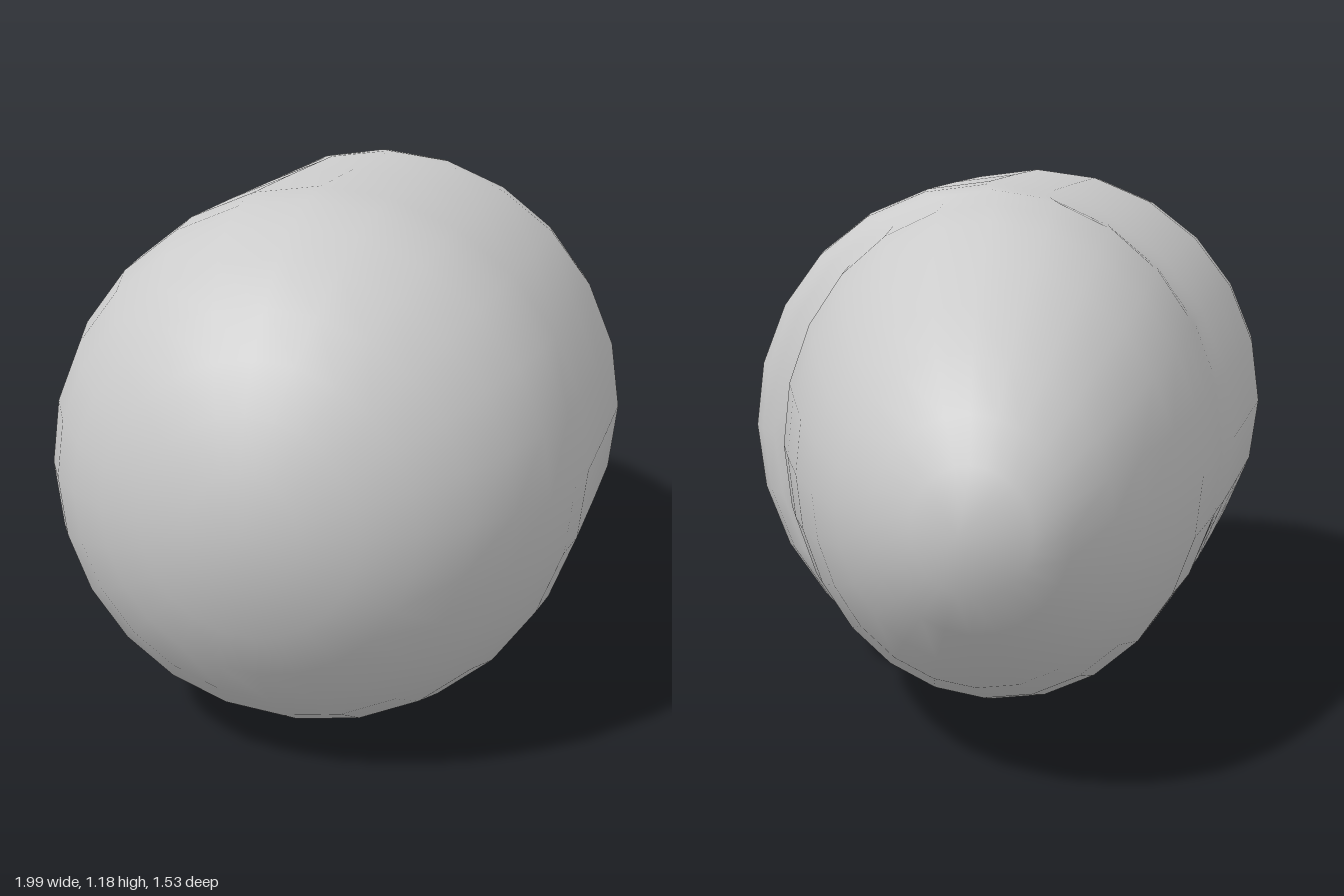
import * as THREE from 'three';
import { mergeVertices } from 'three/addons/utils/BufferGeometryUtils.js';

const SIDES = 24;
const RADIUS = 0.59;
const CENTRE_Y = 0.593;

// Closed loft: each section is [distance along axis, front edge, back edge, half height]
function loft(sections, axis, across) {
  const positions = [];
  const index = [];
  sections.forEach(([s, front, back, h], i) => {
    const middle = (front + back) / 2;
    const halfWidth = (front - back) / 2;
    for (let j = 0; j < SIDES; j++) {
      const angle = (j / SIDES) * Math.PI * 2;
      const p = axis.clone().multiplyScalar(s)
        .addScaledVector(across, middle + halfWidth * Math.cos(angle));
      positions.push(p.x, CENTRE_Y + h * Math.sin(angle), p.z);
      if (i === sections.length - 1) continue;
      const a = i * SIDES + j;
      const b = i * SIDES + (j + 1) % SIDES;
      index.push(a, a + SIDES, b + SIDES, a, b + SIDES, b);
    }
  });
  const geometry = new THREE.BufferGeometry();
  geometry.setAttribute('position', new THREE.Float32BufferAttribute(positions, 3));
  geometry.setIndex(index);
  const welded = mergeVertices(geometry, 1e-4);
  welded.computeVertexNormals();
  return welded;
}

export function createModel() {
  const group = new THREE.Group();
  const axis = new THREE.Vector3(0.92, 0, -0.39).normalize();
  const across = new THREE.Vector3(0.39, 0, 0.92).normalize();

  // Round end
  const sections = [];
  for (let i = 0; i < 8; i++) {
    const angle = (i / 8) * Math.PI / 2;
    const r = RADIUS * Math.sin(angle);
    sections.push([-0.445 - RADIUS * Math.cos(angle), r, -r, r]);
  }

  sections.push(
    // Straight barrel
    [-0.445, 0.59, -0.59, 0.59],
    [-0.18, 0.59, -0.583, 0.59],
    [0.085, 0.588, -0.575, 0.588],
    // Rounded rim and step, fading out towards the back
    [0.16, 0.568, -0.57, 0.585],
    [0.205, 0.538, -0.568, 0.581],
    [0.235, 0.5, -0.567, 0.577],
    [0.262, 0.446, -0.565, 0.57],
    // Tapered nose
    [0.385, 0.424, -0.558, 0.555],
    [0.516, 0.37, -0.552, 0.527],
    [0.69, 0.293, -0.522, 0.465],
    [0.846, 0.207, -0.477, 0.39],
    [0.957, 0.124, -0.432, 0.31],
    [1.054, 0.023, -0.37, 0.215],
    [1.11, -0.07, -0.305, 0.125],
    [1.14, -0.17, -0.17, 0],
  );

  const body = new THREE.Mesh(
    loft(sections, axis, across),
    new THREE.MeshStandardMaterial({ color: 0xcccccc }),
  );
  body.name = 'body';
  group.add(body);
  return group;
}
